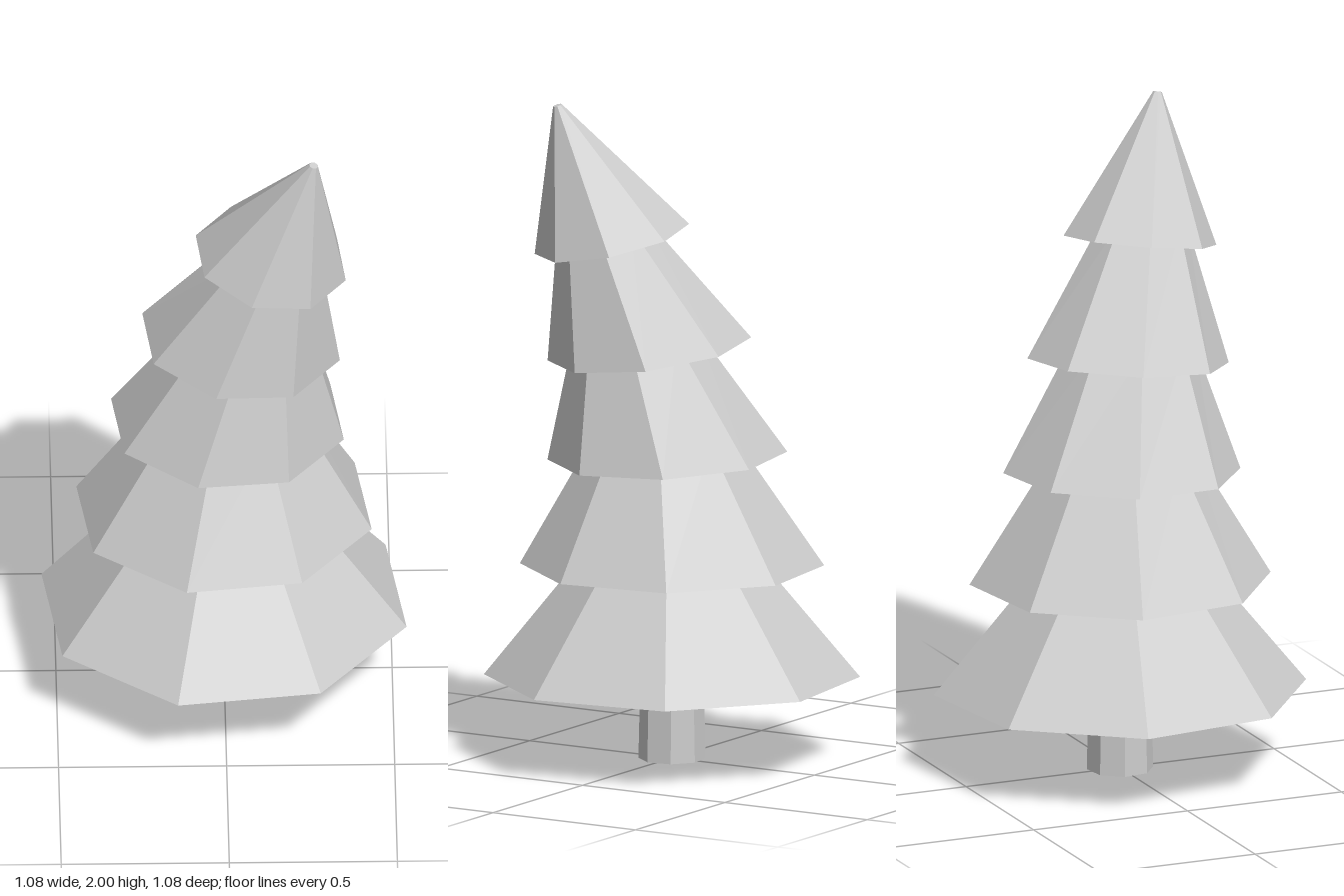
import * as THREE from 'three';

const SIDES = 8;
const TURN = Math.PI / 12;
const material = new THREE.MeshStandardMaterial({ color: 0xcccccc, flatShading: true });

// Ring of corners: centre (x, y, z), radius r, leaning towards +x +z by slope s
function ring({ x, y, z, r, s }) {
  return Array.from({ length: SIDES }, (_, i) => {
    const a = TURN + (i / SIDES) * Math.PI * 2;
    const dx = r * Math.cos(a), dz = r * Math.sin(a);
    return [x + dx, y - s * (dx + dz), z + dz];
  });
}

const at = (y, r, x = 0, z = 0, s = 0) => ({ x, y, z, r, s });

// Skin a sequence of rings, with optional end caps
function loft(name, sections, capStart, capEnd) {
  const rings = sections.map(ring);
  const pos = [];
  const tri = (...corners) => corners.forEach((c) => pos.push(...c));
  for (let k = 0; k < rings.length - 1; k++) {
    const a = rings[k], b = rings[k + 1];
    for (let i = 0; i < SIDES; i++) {
      const j = (i + 1) % SIDES;
      tri(a[i], b[i], a[j]);
      tri(a[j], b[i], b[j]);
    }
  }
  const first = rings[0], last = rings[rings.length - 1];
  for (let i = 1; i < SIDES - 1; i++) {
    if (capStart) tri(first[0], first[i], first[i + 1]);
    if (capEnd) tri(last[0], last[i + 1], last[i]);
  }
  const geometry = new THREE.BufferGeometry();
  geometry.setAttribute('position', new THREE.Float32BufferAttribute(pos, 3));
  geometry.computeVertexNormals();
  const mesh = new THREE.Mesh(geometry, material);
  mesh.name = name;
  return mesh;
}

export function createModel() {
  const tree = new THREE.Group();
  tree.name = 'bentPineTree';

  // Trunk
  tree.add(loft('trunk', [at(0, 0.1), at(0.42, 0.09)], true, false));

  // Wide lower edge of each tier
  const rims = [
    at(0.25, 0.56),
    at(0.587, 0.453),
    at(0.917, 0.357, 0.01, 0.01, 0.03),
    at(1.243, 0.303, 0.05, 0.048, 0.09),
    at(1.583, 0.23, 0.137, 0.125, 0.15),
  ];
  // Narrow rings where neighbouring tiers meet, from the trunk to the tip
  const necks = [
    at(0.41, 0.088),
    at(0.645, 0.235, 0.005, 0.005),
    at(0.975, 0.21, 0.022, 0.02, 0.03),
    at(1.285, 0.185, 0.085, 0.08, 0.09),
    at(1.625, 0.13, 0.16, 0.15, 0.15),
    at(1.997, 0.013, 0.263, 0.237, 0.2),
  ];

  // Foliage tiers: hollow underside, then sloping outer skin
  rims.forEach((rim, i) => {
    tree.add(loft(`foliageTier${i + 1}`, [necks[i], rim, necks[i + 1]], false, i === rims.length - 1));
  });
  return tree;
}
